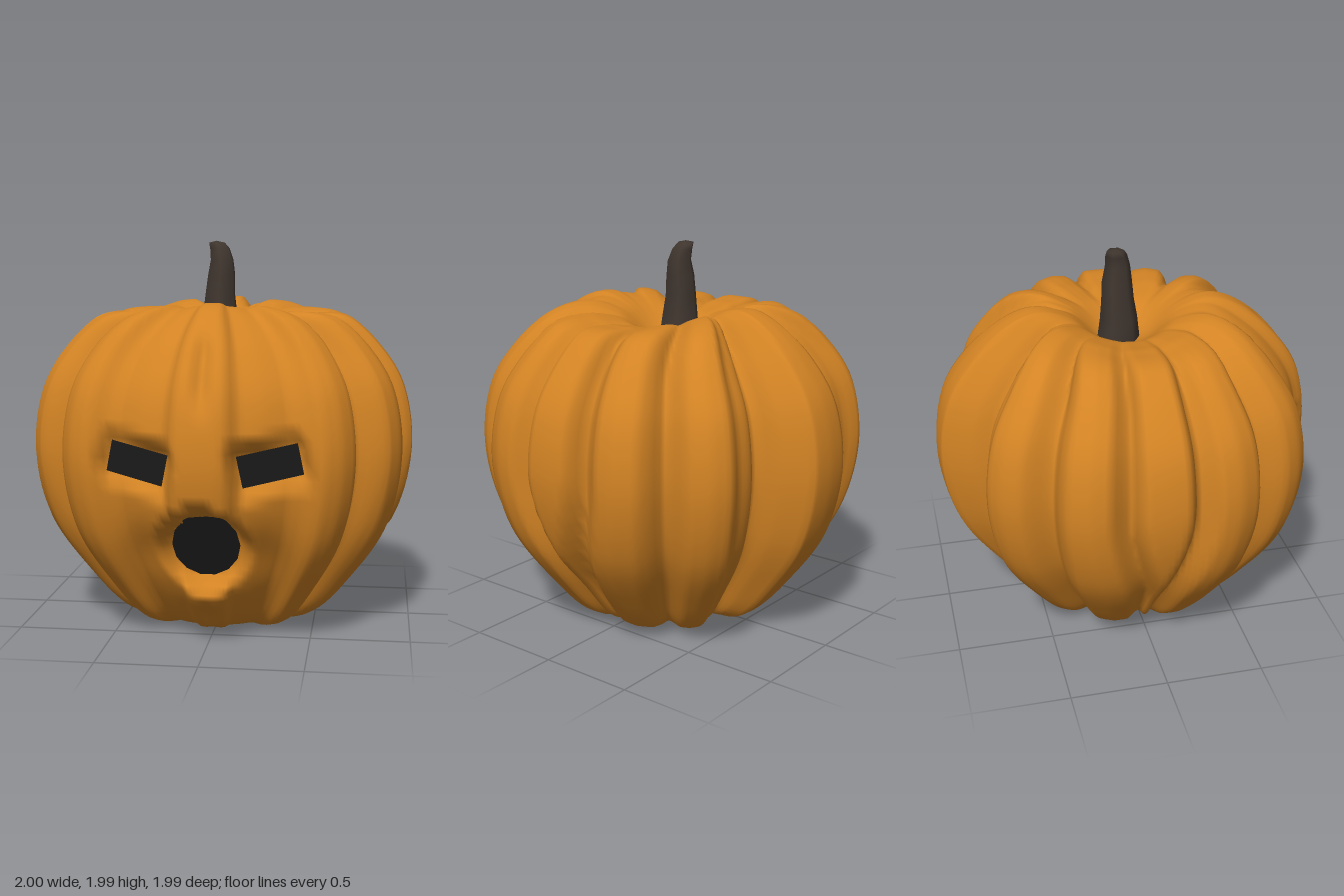
import * as THREE from 'three';
import { mergeVertices } from 'three/addons/utils/BufferGeometryUtils.js';

const { smoothstep, lerp, radToDeg } = THREE.MathUtils;
const bump = (d, w) => Math.exp(-(d * d) / (w * w));

// Rib outline: [degrees from the side axis, radius factor]
const sideRibs = [[0, 1], [6, 1], [8.6, 0.95], [10.5, 0.88], [13, 0.91], [16.4, 0.985], [22, 1.01], [28.6, 1],
  [32, 0.95], [35.5, 0.865], [38, 0.89], [43, 0.985], [49, 1.01], [55, 1]];
const backRibs = [...sideRibs, [58, 0.92], [64, 0.875], [69, 0.75], [72.4, 0.776], [75, 0.85], [80.2, 0.945],
  [82.6, 0.995], [90, 1]];
const frontRibs = [...sideRibs, [59, 0.93], [63, 0.905], [71, 0.92], [79, 0.925], [82.5, 0.98], [85, 0.99], [90, 0.99]];

function ribFactor(x, y, z) {
  const ribs = z > 0 ? frontRibs : backRibs;
  let a = radToDeg(Math.atan2(Math.abs(z), Math.abs(x)));
  // The narrow side rib tapers away towards the bottom
  if (a < 36) a += 8.5 * (1 - a / 36) * (1 - smoothstep(y, 0.25, 1));
  const i = Math.max(1, ribs.findIndex(r => r[0] >= a));
  const [a0, r0] = ribs[i - 1], [a1, r1] = ribs[i];
  return lerp(r0, r1, (a - a0) / (a1 - a0));
}

// Planes on which the dark face openings lie
const EYE = { x: 0.32, y: 0.945, w: 0.29, h: 0.155, tilt: 0.2 };
const eyeDepth = x => 0.81 - 0.3 * (Math.abs(x) - EYE.x);
const mouthDepth = y => 0.705 + 0.36 * (y - 0.53);

function eyeDistance(x, y) {
  const dx = Math.abs(x) - EYE.x, dy = y - EYE.y;
  const c = Math.cos(EYE.tilt), s = Math.sin(EYE.tilt);
  const u = Math.abs(dx * c + dy * s) - EYE.w / 2, v = Math.abs(dy * c - dx * s) - EYE.h / 2;
  return Math.hypot(Math.max(u, 0), Math.max(v, 0)) + Math.min(Math.max(u, v), 0);
}

// Forehead crease, chin, cheeks, and the sockets for eyes and mouth
function carveFace(p) {
  const { x, y } = p;
  p.z -= 0.05 * bump(x, 0.035) * smoothstep(y, 1.15, 1.35) * (1 - smoothstep(y, 1.45, 1.6));
  p.z += 0.03 * bump(x, 0.05 + 0.3 * Math.max(y, 0)) * bump(y - 0.24, 0.08);
  p.z -= 0.04 * bump(x, 0.03) * bump(y - 0.12, 0.08);
  p.z -= 0.04 * bump(Math.abs(x) - 0.27, 0.1) * bump(y - 0.5, 0.14);
  p.z = lerp(eyeDepth(x) - 0.03, p.z, smoothstep(eyeDistance(x, y), 0, 0.05));
  const d = Math.hypot(x, y - 0.53) - 0.165;
  const lip = lerp(0.09, 0.045, smoothstep(y, 0.53, 0.7));
  p.z = lerp(mouthDepth(y) - 0.03, p.z, smoothstep(d, 0, lip));
}

function bodyGeometry() {
  const profile = new THREE.SplineCurve([
    [0, 0.03], [0.28, 0.012], [0.52, 0.06], [0.73, 0.28], [0.92, 0.57], [1, 0.92], [0.955, 1.25],
    [0.81, 1.48], [0.62, 1.64], [0.45, 1.695], [0.28, 1.64], [0.13, 1.52], [0, 1.49],
  ].map(([r, y]) => new THREE.Vector2(r, y)));
  const points = profile.getPoints(84);
  points[0].x = points[84].x = 0;
  const geo = new THREE.LatheGeometry(points, 240);
  const pos = geo.attributes.position, p = new THREE.Vector3();
  for (let i = 0; i < pos.count; i++) {
    p.fromBufferAttribute(pos, i);
    const r = Math.hypot(p.x, p.z), top = p.y > 0.85;
    const side = r > 1e-4 ? (p.x / r) ** 2 : 0;
    // Over the shoulders the ribs bend towards the side axis and fade into the dimple
    const bend = top ? lerp(0.75, 1, smoothstep(r, 0.35, 0.85)) : 1;
    const inset = (1 - ribFactor(p.x, p.y, p.z * bend)) * smoothstep(r, 0.15, 0.68);
    p.x *= 1 - inset;
    p.z *= 1 - inset;
    p.y = 0.85 + (p.y - 0.85) * (1 - (top ? 0.5 : 0.35) * inset);
    // The crest is lower at the sides than at the front and back
    if (top) p.y -= 0.075 * side * smoothstep(r, 0.1, 0.4) * (1 - smoothstep(r, 0.45, 0.7));
    if (p.z > 0.3) carveFace(p);
    pos.setXYZ(i, p.x, p.y, p.z);
  }
  return smooth(geo);
}

// Welds the seam and recomputes smooth normals
function smooth(geo) {
  geo.deleteAttribute('uv');
  geo.deleteAttribute('normal');
  const merged = mergeVertices(geo, 1e-4);
  merged.computeVertexNormals();
  return merged;
}

// Crooked stem lofted through six-sided rings: [y, centre x, centre z, radius]
function stemGeometry() {
  const rings = [[1.44, -0.015, -0.03, 0.12], [1.62, -0.025, -0.03, 0.098], [1.72, -0.025, -0.035, 0.085],
    [1.82, -0.018, -0.037, 0.078], [1.9, -0.015, -0.033, 0.065], [1.96, -0.028, -0.042, 0.056],
    [1.99, -0.045, -0.05, 0.045], [2, -0.047, -0.05, 0]];
  const sides = 6;
  const geo = new THREE.CylinderGeometry(1, 1, 1, sides, rings.length - 1, true);
  const pos = geo.attributes.position;
  for (let i = 0; i < pos.count; i++) {
    const row = rings.length - 1 - Math.floor(i / (sides + 1));
    const [y, cx, cz, r] = rings[row];
    pos.setXYZ(i, cx + pos.getX(i) * r, y, cz + pos.getZ(i) * r);
  }
  return smooth(geo);
}

export function createModel() {
  const group = new THREE.Group();
  const orange = new THREE.MeshStandardMaterial({ color: 0xd28324 });
  const brown = new THREE.MeshStandardMaterial({ color: 0x40362f });
  const dark = new THREE.MeshStandardMaterial({ color: 0x1a1a1a });
  const add = (name, geo, mat) => {
    const mesh = new THREE.Mesh(geo, mat);
    mesh.name = name;
    group.add(mesh);
  };
  // Lays a flat panel on a depth plane
  const layOn = (geo, depth) => {
    const pos = geo.attributes.position;
    for (let i = 0; i < pos.count; i++) pos.setZ(i, depth(pos.getX(i), pos.getY(i)));
    geo.computeVertexNormals();
    return geo;
  };

  add('pumpkinBody', bodyGeometry(), orange);
  add('stem', stemGeometry(), brown);

  // Face openings
  for (const [name, s] of [['leftEye', 1], ['rightEye', -1]]) {
    const eye = new THREE.PlaneGeometry(EYE.w, EYE.h).rotateZ(s * EYE.tilt).translate(s * EYE.x, EYE.y, 0);
    add(name, layOn(eye, x => eyeDepth(x)), dark);
  }
  const mouth = new THREE.CircleGeometry(0.168, 14).translate(0, 0.53, 0);
  add('mouth', layOn(mouth, (x, y) => mouthDepth(y)), dark);

  return group;
}
